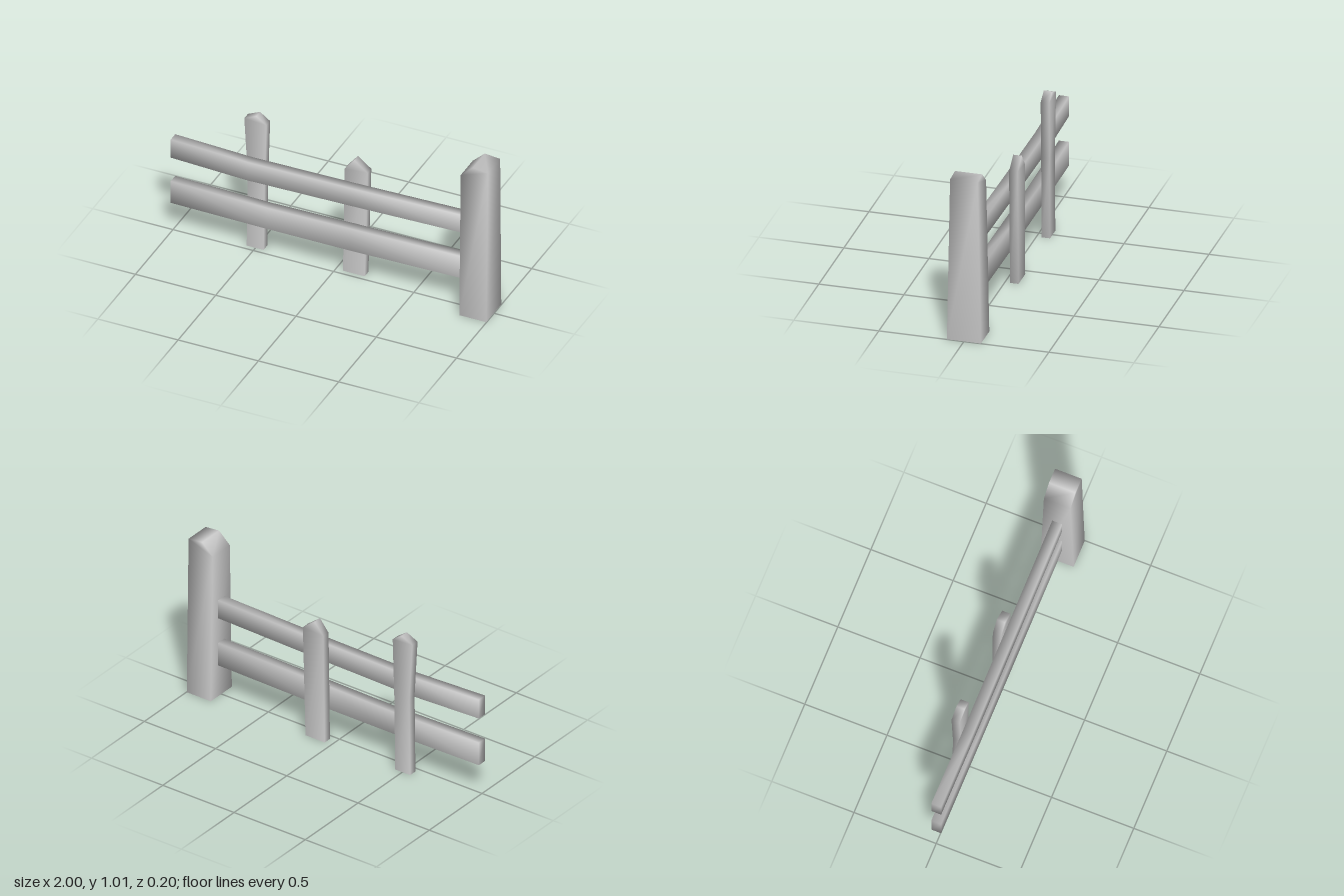
import * as THREE from 'three';
import { mergeVertices } from 'three/addons/utils/BufferGeometryUtils.js';

// Skin a row of four-cornered sections, with softly shaded edges.
function loft(name, sections, capStart, capEnd) {
  const index = [];
  const quad = (a, b, c, d) => index.push(a, b, c, a, c, d);
  for (let i = 0; i < sections.length - 1; i++) {
    for (let j = 0; j < 4; j++) {
      const k = (j + 1) % 4;
      quad(i * 4 + j, i * 4 + k, i * 4 + 4 + k, i * 4 + 4 + j);
    }
  }
  if (capStart) quad(0, 3, 2, 1);
  if (capEnd) {
    const n = (sections.length - 1) * 4;
    quad(n, n + 1, n + 2, n + 3);
  }
  let geo = new THREE.BufferGeometry();
  geo.setAttribute('position', new THREE.Float32BufferAttribute(sections.flat(2), 3));
  geo.setIndex(index);
  geo = mergeVertices(geo);
  geo.computeVertexNormals();
  const mesh = new THREE.Mesh(geo, new THREE.MeshStandardMaterial({
    color: 0xcccccc, side: THREE.DoubleSide,
  }));
  mesh.name = name;
  return mesh;
}

// Upright timber: levels are [left x, left y, right x, right y, back z, front z].
// A last level of zero width makes the ridge; the foot is open.
function upright(name, levels) {
  return loft(name, levels.map(([xl, yl, xr, yr, zb, zf]) => [
    [xl, yl, zf], [xr, yr, zf], [xr, yr, zb], [xl, yl, zb],
  ]), false, false);
}

// Sagging horizontal rail: stations are [x, bottom y, top y].
function rail(name, stations, z = 0.03) {
  return loft(name, stations.map(([x, y0, y1]) => [
    [x, y0, -z], [x, y1, -z], [x, y1, z], [x, y0, z],
  ]), true, true);
}

export function createModel() {
  const fence = new THREE.Group();
  fence.name = 'fence';

  // Heavy tapered end post
  fence.add(upright('endPost', [
    [0.83, 0, 0.998, 0, -0.1, 0.1],
    [0.83, 0.94, 1, 1.0, -0.081, 0.081],
    [0.905, 1.01, 0.905, 1.01, -0.08, 0.08],
  ]));

  // Thin pickets behind the rails
  const zb = -0.08, zf = -0.03;
  fence.add(upright('tallPicket', [
    [-0.555, 0, -0.45, 0, zb, zf],
    [-0.549, 0.5, -0.443, 0.5, zb, zf],
    [-0.57, 0.86, -0.432, 0.85, zb, zf],
    [-0.495, 0.895, -0.495, 0.895, zb, zf],
  ]));
  fence.add(upright('shortPicket', [
    [0.045, 0, 0.18, 0, zb, zf],
    [0.055, 0.695, 0.198, 0.705, zb, zf],
    [0.115, 0.77, 0.115, 0.77, zb, zf],
  ]));

  // Two rails
  fence.add(rail('upperRail', [
    [-1, 0.507, 0.63], [-0.52, 0.488, 0.611], [0.12, 0.498, 0.617], [0.83, 0.513, 0.631],
  ]));
  fence.add(rail('lowerRail', [
    [-1, 0.2, 0.347], [-0.4, 0.193, 0.335], [0.12, 0.193, 0.342], [0.83, 0.203, 0.35],
  ]));

  return fence;
}
